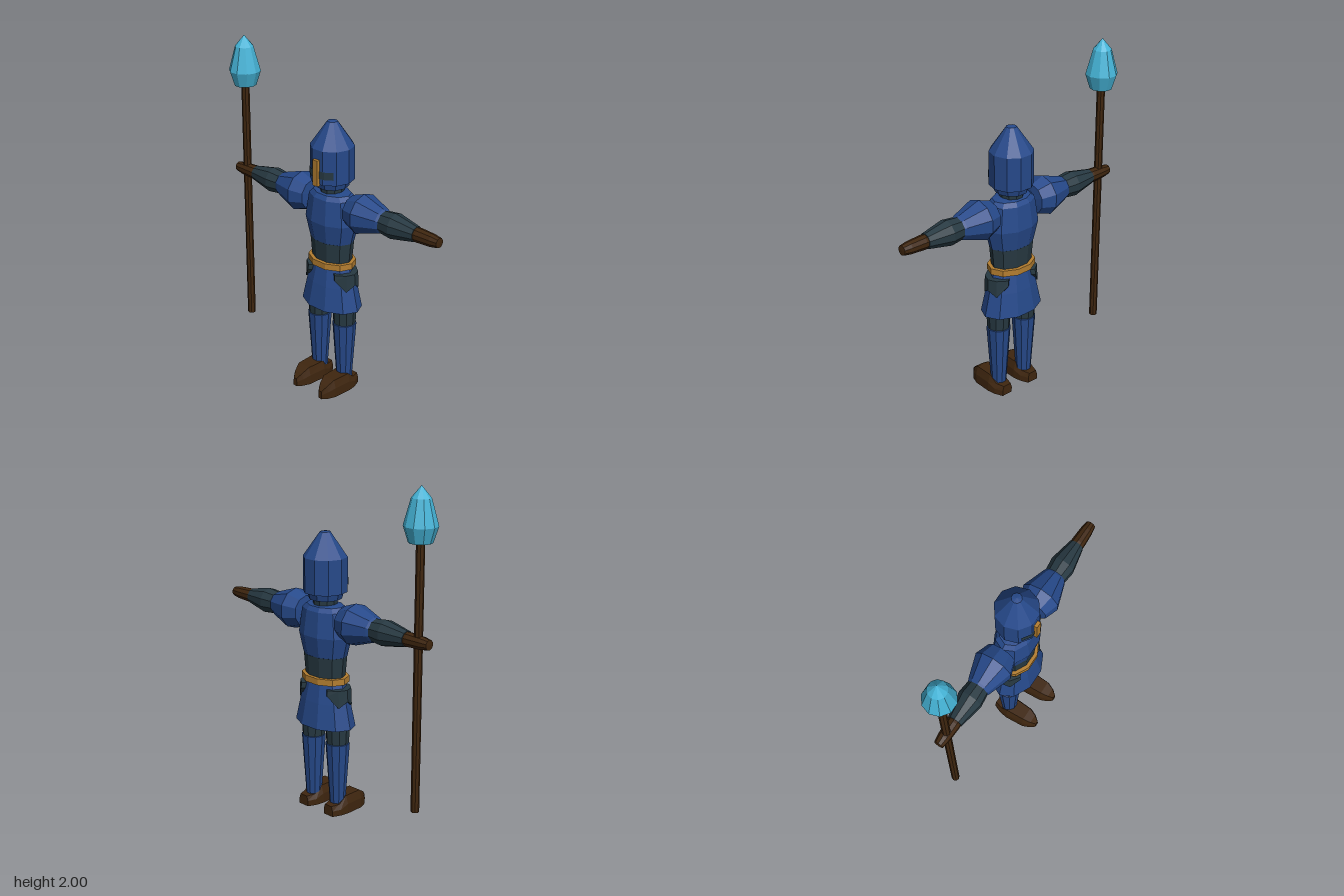
import * as THREE from 'three';

const mat = (name, color) => {
  const m = new THREE.MeshStandardMaterial({ color, flatShading: true, side: THREE.DoubleSide });
  m.name = name;
  return m;
};

export function createModel() {
  const blue = mat('blueArmour', 0x26498a);
  const dark = mat('darkCloth', 0x273942);
  const gold = mat('goldTrim', 0xb47e30);
  const brown = mat('brownLeather', 0x3f260f);
  const cyan = mat('cyanCrystal', 0x45b3d6);

  const model = new THREE.Group();
  model.name = 'spearKnight';
  const body = new THREE.Group();
  body.name = 'body';
  body.position.set(0.007, 0, -0.035);
  model.add(body);

  const add = (parent, name, geometry, material) => {
    const mesh = new THREE.Mesh(geometry, material);
    mesh.name = name;
    parent.add(mesh);
    return mesh;
  };
  // Turned part from [radius, height] points, flattened in depth
  const turned = (points, depth = 1, sides = 10) =>
    new THREE.LatheGeometry(points.map(p => new THREE.Vector2(...p)), sides, Math.PI / 2).scale(1, 1, depth);

  // Solid strip from a closed loop of cross-sections, with capped ends
  const loft = rings => {
    const n = rings[0].length, pos = rings.flat(2), index = [];
    for (let i = 0; i < rings.length - 1; i++)
      for (let j = 0; j < n; j++) {
        const a = i * n + j, b = i * n + (j + 1) % n;
        index.push(a, b, a + n, b, b + n, a + n);
      }
    const last = (rings.length - 1) * n;
    for (let j = 1; j < n - 1; j++) index.push(0, j + 1, j, last, last + j, last + j + 1);
    const g = new THREE.BufferGeometry();
    g.setAttribute('position', new THREE.Float32BufferAttribute(pos, 3));
    g.setIndex(index);
    g.computeVertexNormals();
    return g;
  };

  // Torso, belt and skirt
  add(body, 'chestPlate', turned([[0.13, 0.94], [0.146, 0.95], [0.176, 1.07], [0.152, 1.215], [0.125, 1.24], [0, 1.255]], 0.7), blue);
  add(body, 'waist', turned([[0.13, 0.8], [0.145, 0.955]], 0.7), dark);
  add(body, 'belt', turned([[0.12, 0.793], [0.155, 0.793], [0.155, 0.83], [0.12, 0.83]], 0.74), gold);
  add(body, 'skirt', turned([[0, 0.56], [0.18, 0.56], [0.203, 0.533], [0.168, 0.68], [0.132, 0.8]], 0.67), blue);

  // Head
  add(body, 'neck', turned([[0.07, 1.22], [0.07, 1.33]]), dark);
  add(body, 'helmet', turned([[0, 1.3], [0.08, 1.275], [0.095, 1.275], [0.105, 1.315], [0.127, 1.315],
    [0.127, 1.515], [0.03, 1.655], [0, 1.66]]), blue);
  const slit = new THREE.CylinderGeometry(0.129, 0.129, 0.045, 4, 1, true, -Math.PI * 0.26, Math.PI * 0.52);
  add(body, 'visorSlit', slit, dark).position.y = 1.373;
  add(body, 'noseGuard', new THREE.BoxGeometry(0.037, 0.152, 0.022), gold).position.set(0, 1.384, 0.13);

  // Shoe: half-width w, height h at depth z
  const shoeRings = [[-0.08, 0.036, 0.062], [-0.03, 0.056, 0.066], [0.02, 0.063, 0.108],
    [0.135, 0.056, 0.108], [0.18, 0.038, 0.08], [0.21, 0.014, 0.05]].map(([z, w, h]) =>
    [[-w, 0, z], [w, 0, z], [w, h * 0.55, z], [w * 0.75, h, z], [-w * 0.75, h, z], [-w, h * 0.55, z]]);

  for (const s of [-1, 1]) {
    const side = s > 0 ? 'left' : 'right';

    // Arm, turned around the x axis
    const arm = new THREE.Group();
    arm.name = side + 'Arm';
    arm.position.y = 1.168;
    arm.rotation.z = -s * Math.PI / 2;
    body.add(arm);
    add(arm, side + 'ShoulderPlate', turned([[0, 0.15], [0.09, 0.158], [0.12, 0.243], [0.073, 0.385], [0.065, 0.4], [0, 0.4]]), blue);
    add(arm, side + 'Sleeve', turned([[0.064, 0.38], [0.075, 0.475], [0.045, 0.625], [0, 0.625]]), dark);
    add(arm, side + 'Hand', turned([[0, 0.61], [0.04, 0.615], [0.042, 0.64], [0.037, 0.735], [0.029, 0.782], [0, 0.784]]), brown);

    // Leg
    const leg = new THREE.Group();
    leg.name = side + 'Leg';
    leg.position.x = s * 0.1;
    body.add(leg);
    add(leg, side + 'Thigh', turned([[0.064, 0.41], [0.075, 0.58]]), dark);
    add(leg, side + 'ShinPlate', turned([[0.046, 0.06], [0.05, 0.12], [0.071, 0.432], [0.058, 0.437]]), blue);
    add(leg, side + 'Shoe', loft(shoeRings), brown).position.x = s * 0.004;

    // Hip cloth wrapped over the skirt, with a two-pointed hem
    const hem = [0.735, 0.665, 0.7, 0.665, 0.735];
    const rings = hem.map((y, i) => {
      const t = (i - 2) * 0.47, x = Math.cos(t), z = Math.sin(t);
      return [[0.13 * x, 0.768, 0.085 * z], [0.13 * x, y, 0.085 * z],
        [0.182 * x, y, 0.115 * z], [0.178 * x, 0.768, 0.11 * z]];
    });
    add(body, side + 'HipCloth', loft(rings), dark).rotation.y = s > 0 ? 0 : Math.PI;
  }

  // Spear
  const spear = new THREE.Group();
  spear.name = 'spear';
  spear.position.set(-0.698, 0, -0.035);
  model.add(spear);
  add(spear, 'shaft', new THREE.CylinderGeometry(0.024, 0.024, 1.53, 8), brown).position.y = 0.962;
  add(spear, 'crystalTip', turned([[0, 1.703], [0.066, 1.703], [0.094, 1.79], [0.054, 1.935], [0, 2]]), cyan);

  return model;
}
